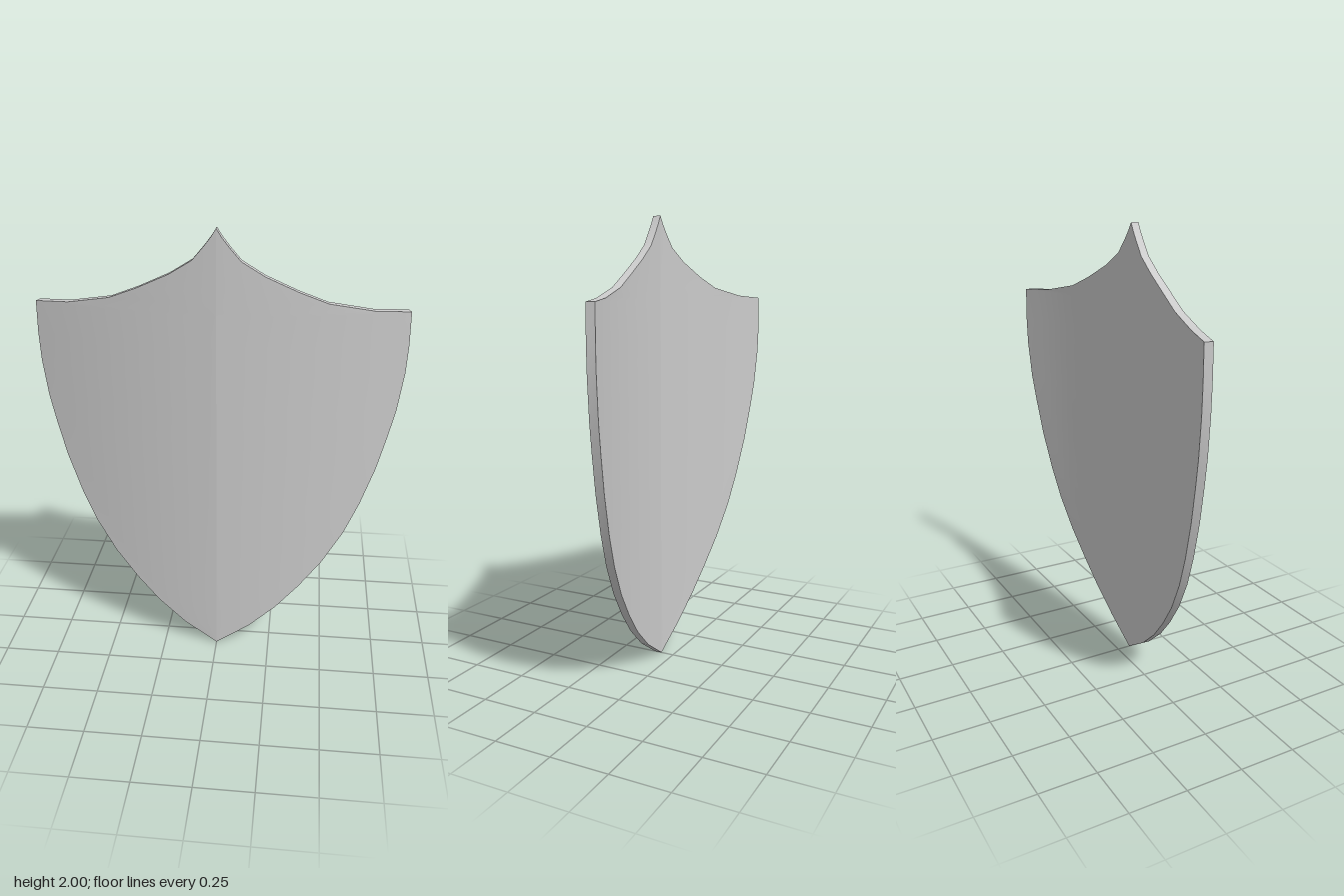
import * as THREE from 'three';
import { toCreasedNormals } from 'three/addons/utils/BufferGeometryUtils.js';

const THICKNESS = 0.035;
const COLUMNS = 8;

// Half outline from bottom point to top point: [half width, height]
const OUTLINE = [
  [0, 0], [0.153, 0.1], [0.28, 0.21], [0.385, 0.325], [0.487, 0.455], [0.577, 0.604],
  [0.642, 0.75], [0.704, 0.927], [0.746, 1.09], [0.773, 1.21], [0.795, 1.376],
  [0.8, 1.5], [0.797, 1.645], [0.645, 1.657], [0.455, 1.695], [0.333, 1.745],
  [0.196, 1.81], [0.1, 1.87], [0.053, 1.925], [0.022, 1.965], [0, 2],
];

// Point on the bowed plate; the back is offset along the plate's normal
function platePoint(x, y, side, back) {
  const z = 0.095 - 0.052 * x - 0.178 * x * x;
  const angle = Math.atan(0.356 * x);
  const depth = back ? THICKNESS : 0;
  return [side * (x - depth * Math.sin(angle)), y, z - depth * Math.cos(angle)];
}

// Surface from rows of points, with optional reversed winding
function gridGeometry(rows, flip) {
  const n = rows[0].length;
  const index = [];
  const same = (p, q) => Math.hypot(p[0] - q[0], p[1] - q[1], p[2] - q[2]) < 1e-6;
  const flat = rows.flat();
  const tri = (a, b, c) => {
    if (same(flat[a], flat[b]) || same(flat[b], flat[c]) || same(flat[a], flat[c])) return;
    if (flip) index.push(a, c, b);
    else index.push(a, b, c);
  };
  for (let i = 0; i < rows.length - 1; i++) {
    for (let j = 0; j < n - 1; j++) {
      const a = i * n + j;
      tri(a, a + 1, a + n + 1);
      tri(a, a + n + 1, a + n);
    }
  }
  const geometry = new THREE.BufferGeometry();
  geometry.setAttribute('position', new THREE.Float32BufferAttribute(flat.flat(), 3));
  geometry.setIndex(index);
  geometry.computeVertexNormals();
  return geometry;
}

export function createModel() {
  const group = new THREE.Group();
  group.name = 'shield';
  const material = new THREE.MeshStandardMaterial({ color: 0xcccccc });
  const add = (name, geometry) => {
    const mesh = new THREE.Mesh(geometry, material);
    mesh.name = name;
    group.add(mesh);
  };

  // Each half is separate so the central ridge stays crisp
  for (const side of [1, -1]) {
    const label = side > 0 ? 'left' : 'right';

    // Front and back faces
    for (const back of [false, true]) {
      const rows = OUTLINE.map(([w, y]) =>
        Array.from({ length: COLUMNS + 1 }, (_, j) =>
          platePoint(w * j / COLUMNS, y, side, back)));
      add(label + (back ? 'BackFace' : 'FrontFace'), gridGeometry(rows, (side < 0) !== back));
    }

    // Rim joining front to back
    const rim = OUTLINE.map(([w, y]) =>
      [platePoint(w, y, side, false), platePoint(w, y, side, true)]);
    add(label + 'Rim', toCreasedNormals(gridGeometry(rim, side < 0), 0.5));
  }
  return group;
}
